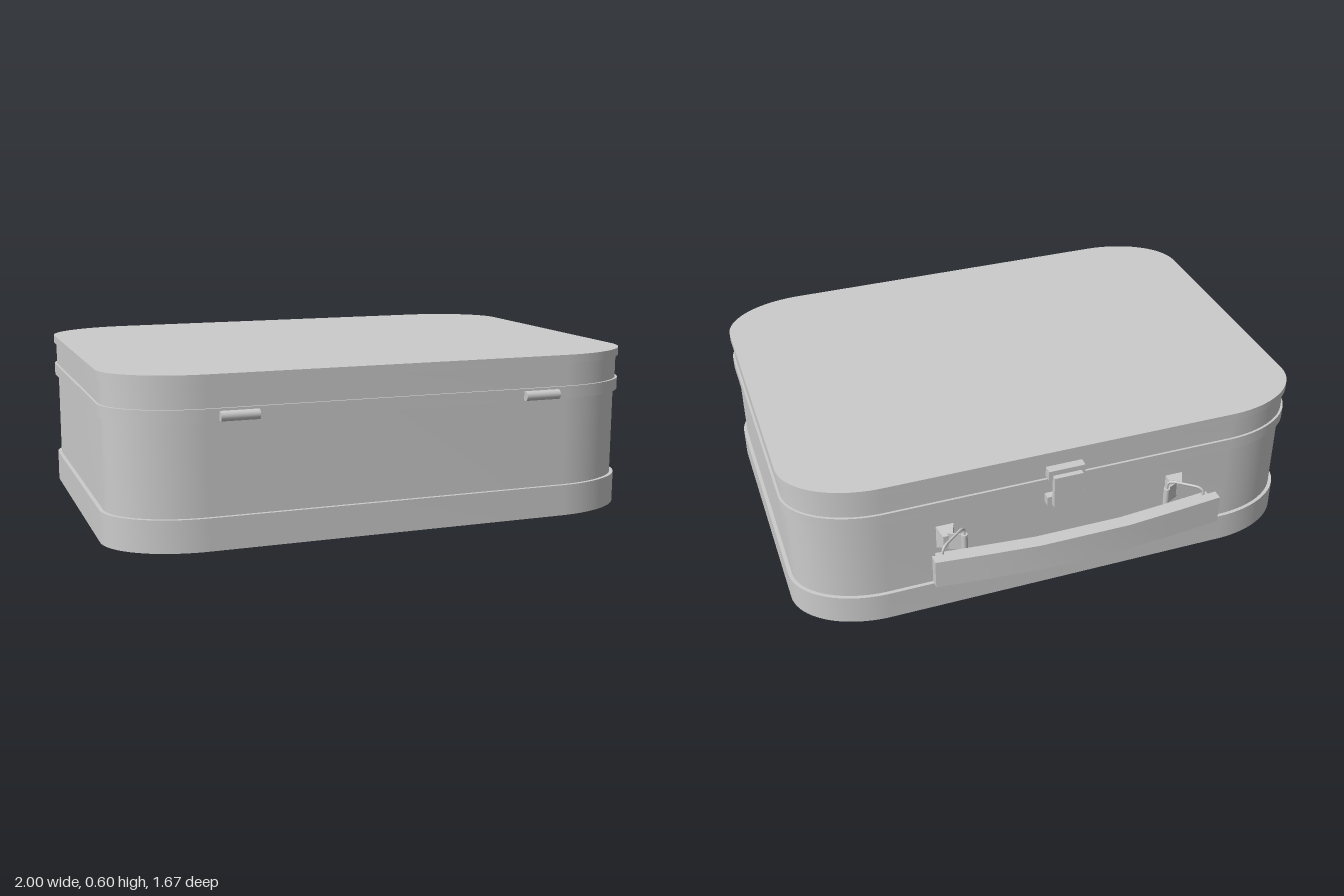
import * as THREE from 'three';
import { toCreasedNormals } from 'three/addons/utils/BufferGeometryUtils.js';

const material = new THREE.MeshStandardMaterial({ color: 0xcccccc });

function add(parent, name, geometry, x = 0, y = 0, z = 0) {
  const mesh = new THREE.Mesh(geometry, material);
  mesh.name = name;
  mesh.position.set(x, y, z);
  parent.add(mesh);
  return mesh;
}

function box(parent, name, x0, x1, y0, y1, z0, z1) {
  return add(parent, name, new THREE.BoxGeometry(x1 - x0, y1 - y0, z1 - z0),
    (x0 + x1) / 2, (y0 + y1) / 2, (z0 + z1) / 2);
}

// Extrude a plan outline, given as (x, -z), upwards from y0 to y1
function extrudeUp(shape, y0, y1) {
  const g = new THREE.ExtrudeGeometry(shape, { depth: y1 - y0, bevelEnabled: false, curveSegments: 16 });
  g.rotateX(-Math.PI / 2);
  g.translate(0, y0, 0);
  return toCreasedNormals(g, 0.5);
}

// Case outline with elliptical corners
function caseOutline(inset) {
  const w = 1 - inset, d = 0.713 - inset, rx = 0.33 - inset, rz = 0.23 - inset;
  const s = new THREE.Shape();
  const q = Math.PI / 2;
  [[1, 1], [-1, 1], [-1, -1], [1, -1]].forEach(([sx, sy], i) => {
    s.absellipse(sx * (w - rx), sy * (d - rz), rx, rz, i * q, (i + 1) * q, false, 0);
  });
  return s;
}

// Curved strip of the grip between two z offsets from the outer curve
function gripStrip(halfLength, near, far) {
  const xs = [-1, -0.66, -0.31, 0.31, 0.66, 1].map(t => t * halfLength);
  const curve = x => 0.84 - 0.04 * Math.max(0, (Math.abs(x) - 0.1) / 0.445) ** 1.15;
  const outer = xs.map(x => new THREE.Vector2(x, curve(x) - near));
  const inner = xs.map(x => new THREE.Vector2(x, curve(x) - far)).reverse();
  return new THREE.Shape([...inner.reverse(), ...outer.reverse()]);
}

export function createModel() {
  const model = new THREE.Group();
  model.name = 'suitcase';

  // Case: stacked layers, with raised rims around the recessed walls
  const layers = [
    ['bottomRim', 0, 0.115, 0],
    ['lowerWall', 0.115, 0.44, 0.014],
    ['lidRim', 0.44, 0.485, 0],
    ['lidWall', 0.485, 0.57, 0.009],
    ['topRim', 0.57, 0.6, 0],
  ];
  for (const [name, y0, y1, inset] of layers) {
    add(model, name, extrudeUp(caseOutline(inset), y0, y1), 0, 0, 0.093);
  }

  // Hinge barrels on the front
  for (const s of [1, -1]) {
    const g = new THREE.CylinderGeometry(0.018, 0.018, 0.135, 16);
    g.rotateZ(Math.PI / 2);
    add(model, s > 0 ? 'leftHinge' : 'rightHinge', g, s * 0.565, 0.46, 0.814);
  }

  // Latch on the back
  const latch = new THREE.Group();
  latch.name = 'latch';
  model.add(latch);
  box(latch, 'latchMount', -0.07, 0.07, 0.495, 0.535, -0.645, -0.605);
  box(latch, 'latchPlate', -0.055, 0.055, 0.385, 0.515, -0.665, -0.642);
  box(latch, 'latchCatch', -0.07, 0.07, 0.375, 0.412, -0.635, -0.6);

  // Handle
  const handle = new THREE.Group();
  handle.name = 'handle';
  model.add(handle);
  add(handle, 'grip', extrudeUp(gripStrip(0.545, 0, 0.038), 0.263, 0.375));
  add(handle, 'gripLining', extrudeUp(gripStrip(0.525, 0.036, 0.073), 0.283, 0.357));

  for (const s of [1, -1]) {
    const fitting = new THREE.Group();
    fitting.name = s > 0 ? 'leftFitting' : 'rightFitting';
    handle.add(fitting);

    // Tapered base on the case wall
    const base = new THREE.CylinderGeometry(0.5, 1, 0.04, 4, 1);
    base.rotateY(Math.PI / 4);
    base.scale(0.035 * Math.SQRT2, 1, 0.05 * Math.SQRT2);
    base.rotateX(-Math.PI / 2);
    add(fitting, 'mount', base.toNonIndexed(), s * 0.452, 0.32, -0.623).geometry.computeVertexNormals();

    // Tab reaching from the base to a curled eye
    const tab = box(fitting, 'tab', -0.029, 0.029, 0.285, 0.355, -0.003, 0.003);
    tab.position.set(s * 0.425, 0.32, -0.651);
    tab.rotation.y = s * -0.45;
    add(fitting, 'eye', new THREE.CylinderGeometry(0.012, 0.012, 0.07, 12), s * 0.397, 0.32, -0.664);

    // Rounded wire loop joining the eye to the grip
    const at = (t, y) => new THREE.Vector3(s * (0.397 + 0.106 * t), y, -0.664 - 0.085 * t);
    const corners = [[0, 0.243], [1, 0.243], [1, 0.392], [0, 0.392]];
    const path = new THREE.CurvePath();
    const ends = corners.map(([t, y]) => {
      const a = t ? 0.75 : 0.25, b = y < 0.3 ? 0.268 : 0.367;
      return { c: at(t, y), flat: at(a, y), upright: at(t, b) };
    });
    const order = [['upright', 'flat'], ['flat', 'upright'], ['upright', 'flat'], ['flat', 'upright']];
    ends.forEach((e, i) => {
      const n = (i + 1) % 4;
      path.add(new THREE.QuadraticBezierCurve3(e[order[i][0]], e.c, e[order[i][1]]));
      path.add(new THREE.LineCurve3(e[order[i][1]], ends[n][order[n][0]]));
    });
    add(fitting, 'wireLoop', new THREE.TubeGeometry(path, 64, 0.005, 8, true));
  }
  return model;
}
